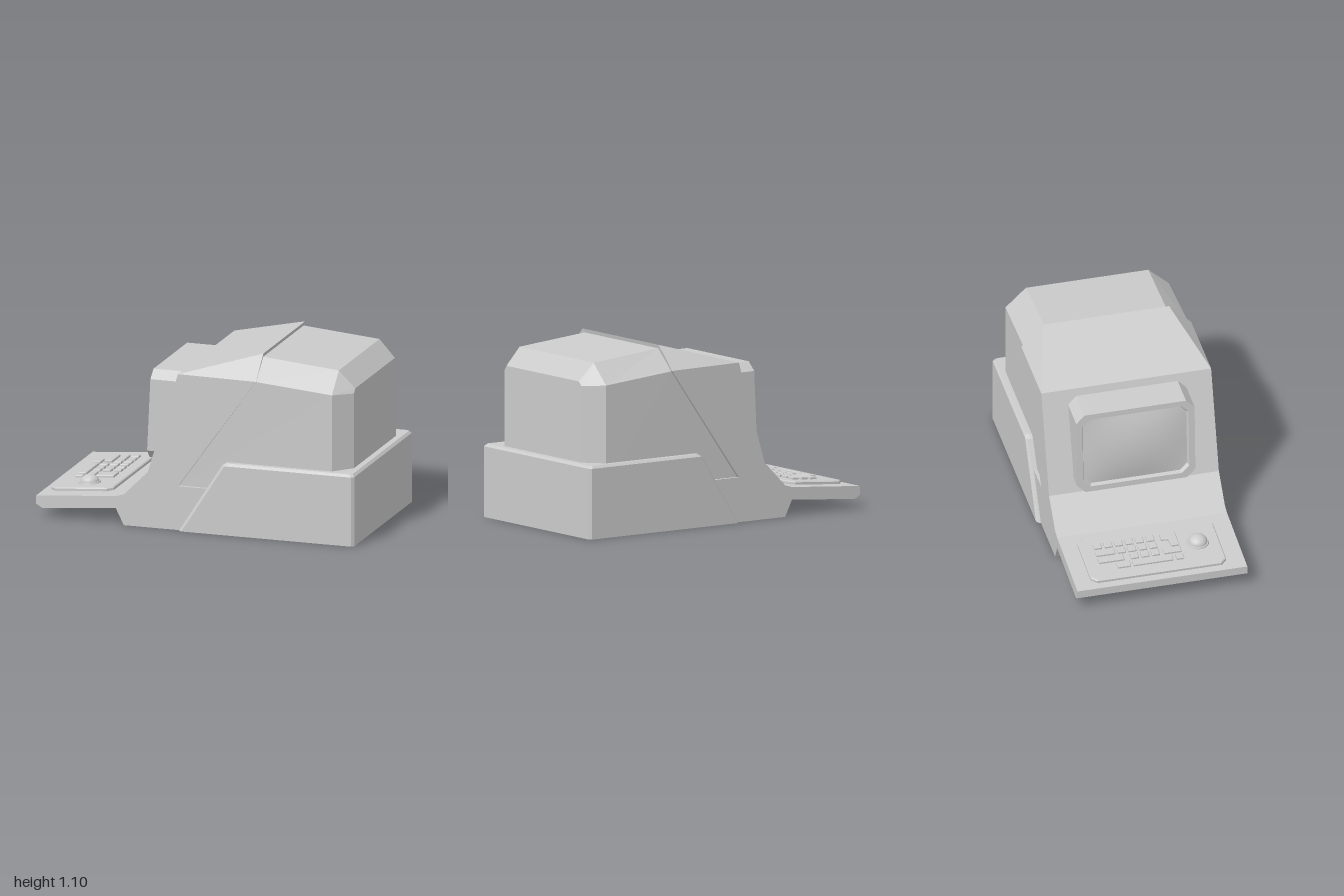
import * as THREE from 'three';

const grey = new THREE.MeshStandardMaterial({ color: 0xcccccc, side: THREE.DoubleSide });

function add(parent, name, geometry) {
  const mesh = new THREE.Mesh(geometry, grey);
  mesh.name = name;
  parent.add(mesh);
  return mesh;
}

// Flat-shaded skin through a list of equally long point loops
function skin(loops, { closed = true, cap = false } = {}) {
  const pos = [];
  const tri = (a, b, c) => {
    const same = (p, q) => p.every((v, i) => v === q[i]);
    if (!same(a, b) && !same(b, c) && !same(a, c)) pos.push(...a, ...b, ...c);
  };
  for (let k = 0; k + 1 < loops.length; k++) {
    const A = loops[k], B = loops[k + 1], n = A.length;
    for (let i = 0; i < (closed ? n : n - 1); i++) {
      const j = (i + 1) % n;
      tri(A[i], A[j], B[j]);
      tri(A[i], B[j], B[i]);
    }
  }
  if (cap) {
    const L = loops[loops.length - 1];
    for (let i = 1; i + 1 < L.length; i++) tri(L[0], L[i], L[i + 1]);
  }
  const g = new THREE.BufferGeometry();
  g.setAttribute('position', new THREE.Float32BufferAttribute(pos, 3));
  g.computeVertexNormals();
  return g;
}

// Half a loop on +z, completed by its mirror image on -z
const mirrored = (half) => [...half, ...half.slice().reverse().map(([x, y, z]) => [x, y, -z])];

const polygon = (pts) => new THREE.Shape(pts.map(([x, y]) => new THREE.Vector2(x, y)));

// Rectangle with cut corners, as [u, v] points
function cutRect(u0, u1, v0, v1, c) {
  return [[u0 + c, v0], [u1 - c, v0], [u1, v0 + c], [u1, v1 - c],
    [u1 - c, v1], [u0 + c, v1], [u0, v1 - c], [u0, v0 + c]];
}

function createShell() {
  const g = new THREE.Group();
  g.name = 'frontShell';
  const W = 0.52;
  // Front outline: foot, tray underside, tray lip, tray top, sloping face
  const outline = [[-0.45, 0], [-0.5, 0.1], [-0.96, 0.06], [-1, 0.085], [-1, 0.135],
    [-0.5, 0.175], [-0.45, 0.19], [-0.3, 0.34], [-0.11, 0.96]];
  add(g, 'trayAndFace', skin([
    outline.map(([x, y]) => [x, y, W]),
    outline.map(([x, y]) => [x, y, -W]),
  ], { closed: false }));
  // Side panels, notched at the back where the rear housing begins
  const side = polygon([...outline, [0.38, 0.955], [-0.11, 0.27], [0.08, 0.27], [-0.08, 0]]);
  for (const s of [1, -1]) add(g, 'sidePanel', new THREE.ShapeGeometry(side)).position.z = s * W;
  // Roof, opening from a straight edge to a bevelled arch
  const arch = [[0.38, 0.955, W], [0.38, 1.095, 0.385]];
  const edge = [-0.11, 0.96, W];
  add(g, 'roof', skin([mirrored([edge, edge]), mirrored(arch)], { closed: false }));
  // Rim stepping down to the rear housing
  add(g, 'rim', skin([
    mirrored([[0.08, 0.27, W], [-0.11, 0.27, W], ...arch]),
    mirrored([[0.08, 0.27, 0.5], [-0.11, 0.27, 0.5], [0.375, 0.95, 0.505], [0.375, 1.072, 0.372]]),
  ], { closed: false }));
  return g;
}

function createRearHousing() {
  return skin([
    mirrored([[-0.11, 0.27, 0.5], [0.375, 0.95, 0.505], [0.375, 1.072, 0.372], [0.375, 1.072, 0.372]]),
    mirrored([[0.85, 0.27, 0.5], [0.85, 0.908, 0.5], [0.85, 1.03, 0.375], [0.85, 1.03, 0.375]]),
    mirrored([[0.95, 0.27, 0.388], [0.95, 0.9, 0.388], [0.95, 0.925, 0.365], [0.95, 0.925, 0.365]]),
  ], { closed: false, cap: true });
}

// Open-bottomed base with a sloped front and small bevels
function createBase() {
  const ring = (y, xf, inset) => mirrored([
    [xf + inset, y, 0.53 - inset], [xf + 0.02 + inset, y, 0.545 - inset],
    [0.985 - inset, y, 0.545 - inset], [1 - inset, y, 0.53 - inset],
  ]);
  return skin([ring(0, -0.1, 0), ring(0.425, 0.17, 0), ring(0.44, 0.18, 0.014)], { cap: true });
}

function createMonitor() {
  const g = new THREE.Group();
  g.name = 'monitor';
  const faceX = (y) => -0.36 + (y - 0.375) * 0.046;
  const loop = (hw, y0, y1, c, x) => cutRect(-hw, hw, y0, y1, c).map(([z, y]) => [x(y), y, z]);
  // Casing, front frame and recess
  add(g, 'casing', skin([
    loop(0.3, 0.43, 0.87, 0.05, () => -0.05),
    loop(0.362, 0.375, 0.92, 0.052, () => -0.13),
    loop(0.362, 0.375, 0.92, 0.052, faceX),
    loop(0.325, 0.41, 0.885, 0.045, faceX),
    loop(0.315, 0.42, 0.875, 0.045, (y) => faceX(y) + 0.03),
  ]));
  // Bulging screen
  const screen = new THREE.PlaneGeometry(0.64, 0.466, 16, 12);
  const p = screen.attributes.position;
  for (let i = 0; i < p.count; i++) {
    const u = p.getX(i), v = p.getY(i), y = v + 0.647;
    const bulge = (1 - (u / 0.32) ** 2) * (1 - (v / 0.233) ** 2);
    p.setXYZ(i, faceX(y) + 0.024 - 0.032 * bulge, y, u);
  }
  screen.computeVertexNormals();
  add(g, 'screen', screen);
  return g;
}

function createKeyboard() {
  const g = new THREE.Group();
  g.name = 'keyboard';
  g.position.set(-0.75, 0.155, 0);
  g.rotation.z = Math.atan(0.08);
  // Raised slab outlined in x, z
  const slab = (name, pts, y0, y1, inset = 0) => {
    const geo = new THREE.ExtrudeGeometry(polygon(pts.map(([x, z]) => [x + 0.75, -z])), {
      depth: y1 - y0 - inset, bevelEnabled: inset > 0, bevelSegments: 1,
      bevelSize: inset, bevelThickness: inset, bevelOffset: -inset,
    });
    add(g, name, geo.rotateX(-Math.PI / 2).translate(0, y0, 0));
  };
  slab('keyPlate', cutRect(-0.953, -0.56, -0.42, 0.41, 0.035), -0.005, 0.02, 0.006);
  // Keys by column: left edge x, then z ranges
  const small = (n, from) => Array.from({ length: n }, (_, i) => [from + i * 0.0645, from + i * 0.0645 + 0.048]);
  const columns = [
    [-0.875, [[-0.24, -0.16], [-0.145, 0.1], [0.12, 0.165]]],
    [-0.81, [[-0.34, -0.185], ...small(3, -0.144), [0.06, 0.165]]],
    [-0.745, [[-0.34, -0.225], ...small(4, -0.208)]],
    [-0.68, small(6, -0.338)],
  ];
  for (const [x, keys] of columns)
    for (const [z0, z1] of keys) slab('key', cutRect(x, x + 0.048, z0, z1, 0.003), 0.015, 0.034, 0.004);
  slab('cornerKey', [[-0.75, 0.118], [-0.69, 0.112], [-0.685, 0.07], [-0.632, 0.07],
    [-0.632, 0.165], [-0.75, 0.165]], 0.015, 0.034, 0.004);
  // Trackball in a low collar
  add(g, 'trackballCollar', new THREE.CylinderGeometry(0.064, 0.068, 0.012, 32)).position.set(0.007, 0.024, 0.28);
  const ball = new THREE.SphereGeometry(0.064, 32, 12, 0, Math.PI * 2, 0, Math.PI / 2);
  add(g, 'trackball', ball.scale(0.9, 0.7, 0.9)).position.set(0.007, 0.026, 0.28);
  return g;
}

export function createModel() {
  const model = new THREE.Group();
  model.name = 'desktopTerminal';
  model.add(createShell(), createMonitor(), createKeyboard());
  add(model, 'rearHousing', createRearHousing());
  add(model, 'base', createBase());
  return model;
}
